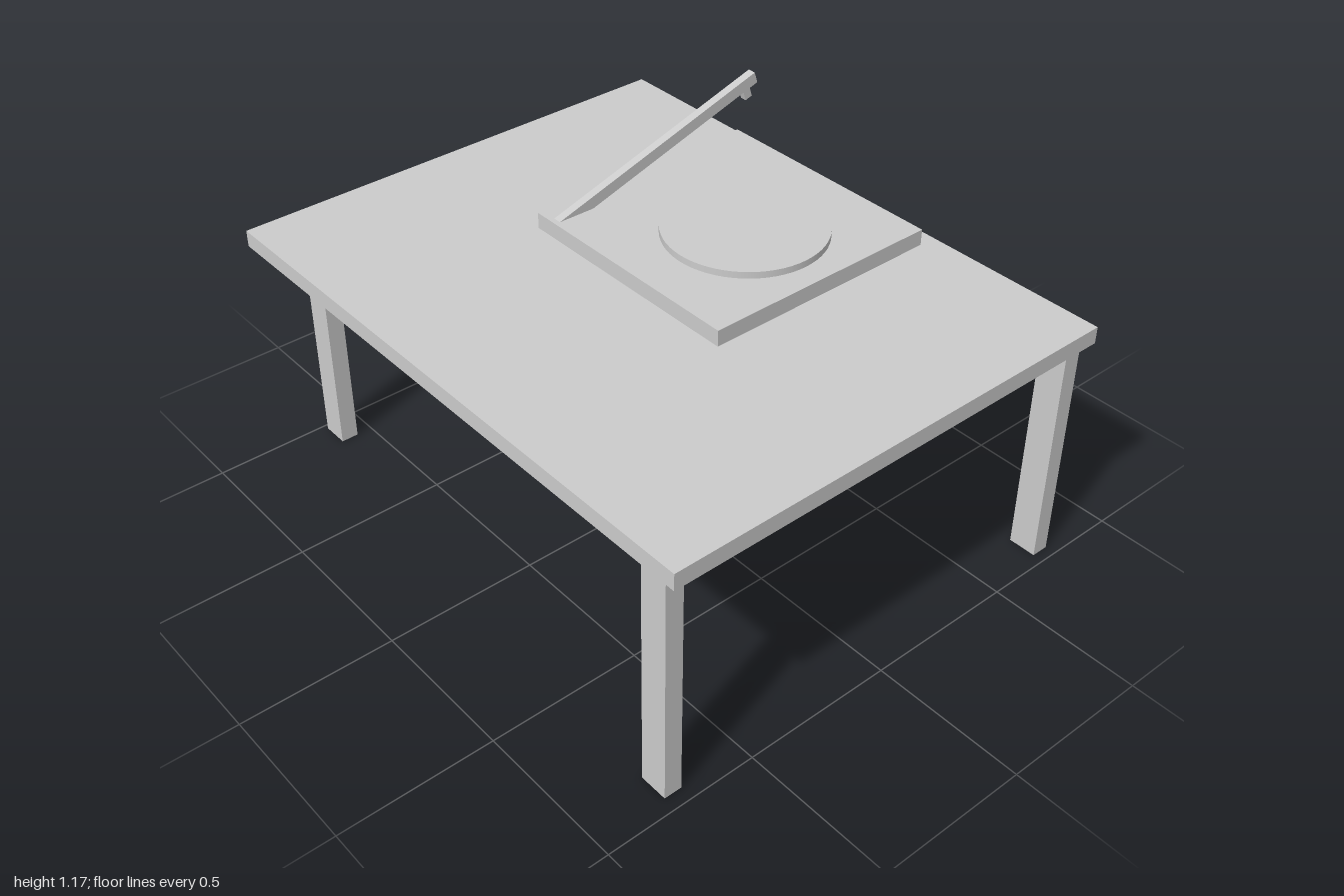
import * as THREE from 'three';

const material = new THREE.MeshStandardMaterial({ color: 0xcccccc });

function part(name, geometry, x, y, z) {
  const mesh = new THREE.Mesh(geometry, material);
  mesh.name = name;
  mesh.position.set(x, y, z);
  return mesh;
}

const box = (name, w, h, d, x, y, z) => part(name, new THREE.BoxGeometry(w, h, d), x, y, z);

// Table: slab top on four slightly unevenly placed legs
function createTable() {
  const table = new THREE.Group();
  table.name = 'table';
  table.add(box('tableTop', 2, 0.055, 1.57, 0, 0.8125, 0));
  const legs = [
    ['frontLeftLeg', 0.908, 0.743],
    ['frontRightLeg', -0.935, 0.583],
    ['backLeftLeg', 0.918, -0.74],
    ['backRightLeg', -0.94, -0.74],
  ];
  for (const [name, x, z] of legs) table.add(box(name, 0.093, 0.785, 0.058, x, 0.3925, z));
  return table;
}

// Record player: plinth, round platter and raised tone arm
function createRecordPlayer() {
  const player = new THREE.Group();
  player.name = 'recordPlayer';
  player.add(box('plinth', 0.812, 0.053, 0.812, 0.0025, 0.893, -0.287));
  player.add(part('platter', new THREE.CylinderGeometry(0.255, 0.255, 0.022, 64), 0.082, 0.935, -0.28));

  // Tone arm pitched up towards the back, stylus block under its tip
  const arm = new THREE.Group();
  arm.name = 'toneArm';
  arm.position.set(-0.325, 1.026, -0.288);
  arm.rotation.set(0.315, -0.018, 0, 'YXZ');
  arm.add(box('armBeam', 0.028, 0.039, 0.81, 0, 0, 0));
  arm.add(box('stylus', 0.022, 0.034, 0.027, 0, -0.0365, -0.361));
  player.add(arm);
  return player;
}

export function createModel() {
  const model = new THREE.Group();
  model.name = 'recordPlayerOnTable';
  model.add(createTable(), createRecordPlayer());
  return model;
}
